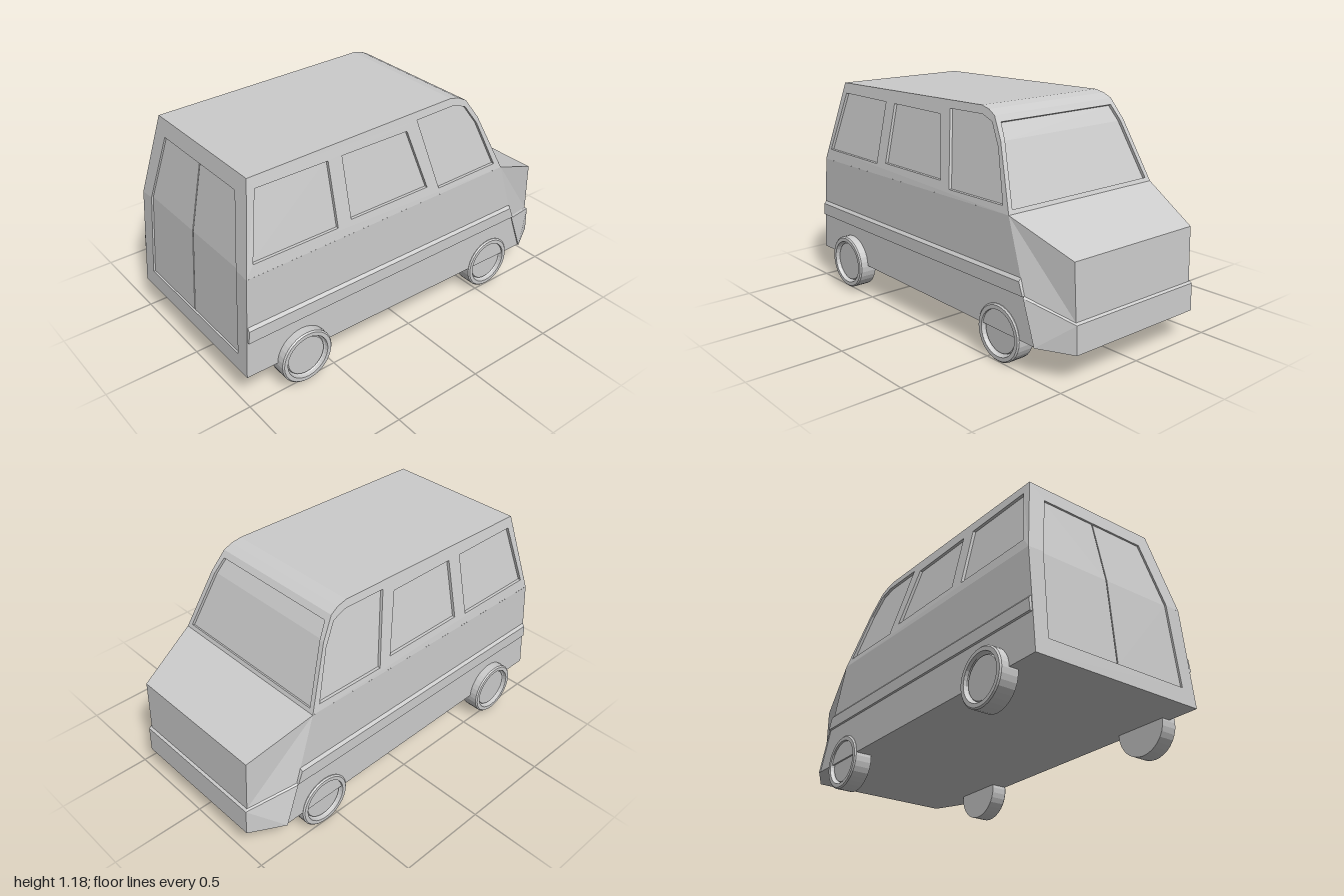
import * as THREE from 'three';

const mat = new THREE.MeshStandardMaterial({ color: 0xcccccc, flatShading: true, side: THREE.DoubleSide });
const CENTRE = new THREE.Vector3(0, 0.6, 0);

// half-width of the body shell at a given height (kinked at the belt line)
const halfWidth = y => 0.4845 - (y - 0.73) * (y > 0.73 ? 0.222 : 0.02);
const onSide = (z, y, out = 0) => [halfWidth(y) + out, y, z];
const mirror = p => [-p[0], p[1], p[2]];
const add = (p, d) => p.map((v, i) => v + d[i]);

// mesh of flat convex polygons, each turned to face away from the body centre
function shell(name, faces) {
  const pos = [];
  for (const face of faces) {
    const p = face.map(c => new THREE.Vector3(...c));
    for (let i = 1; i < p.length - 1; i++) {
      const tri = [p[0], p[i], p[i + 1]];
      const n = tri[1].clone().sub(tri[0]).cross(tri[2].clone().sub(tri[0]));
      const mid = tri[0].clone().add(tri[1]).add(tri[2]).divideScalar(3).sub(CENTRE);
      if (n.dot(mid) < 0) tri.reverse();
      tri.forEach(v => pos.push(v.x, v.y, v.z));
    }
  }
  const geo = new THREE.BufferGeometry();
  geo.setAttribute('position', new THREE.Float32BufferAttribute(pos, 3));
  geo.computeVertexNormals();
  const mesh = new THREE.Mesh(geo, mat);
  mesh.name = name;
  return mesh;
}
const bothSides = faces => [...faces, ...faces.map(f => f.map(mirror))];

// strip of quads joining two equally long point rows
const strip = (a, b) => a.slice(1).map((_, i) => [a[i], a[i + 1], b[i + 1], b[i]]);
// faces spanning the model from a +x edge line to its mirror image
const span = edge => strip(edge, edge.map(mirror));

// frame around an opening symmetric in x: rim faces plus the walls of the recess
function frame(outer, inner, recess) {
  const ring = half => [...half, ...half.map(mirror).reverse(), half[0]];
  const o = ring(outer), i = ring(inner);
  return [...strip(o, i), ...strip(i, i.map(p => add(p, recess)))];
}

// point on a (z, y) polyline at height y
function zAt(line, y) {
  const k = Math.max(0, Math.min(line.length - 2, line.findIndex(p => p[1] >= y) - 1));
  const [a, b] = [line[k], line[k + 1]];
  return a[0] + (b[0] - a[0]) * (y - a[1]) / (b[1] - a[1]);
}

// extrude a (z, y) shape inward from the sloping side wall
function sidePanel(name, shape, sign, start, depth) {
  const geo = new THREE.ExtrudeGeometry(shape, { depth, bevelEnabled: false });
  const p = geo.attributes.position;
  for (let i = 0; i < p.count; i++) {
    const z = p.getX(i), y = p.getY(i);
    p.setXYZ(i, sign * (halfWidth(Math.max(y, 0.7301)) - start - p.getZ(i)), y, z);
  }
  geo.computeVertexNormals();
  const mesh = new THREE.Mesh(geo, mat);
  mesh.name = name;
  return mesh;
}
const toShape = pts => new THREE.Shape(pts.map(p => new THREE.Vector2(...p)));

function wheel(name, x, y, z) {
  // tyre, rim step and recessed hub disc
  const profile = [[0, -0.05], [0.145, -0.05], [0.145, 0.04], [0.138, 0.047], [0.118, 0.047],
    [0.115, 0.03], [0.108, 0.022], [0.104, 0.03], [0, 0.03]];
  const geo = new THREE.LatheGeometry(profile.map(p => new THREE.Vector2(...p)), 32).toNonIndexed();
  geo.computeVertexNormals();
  const mesh = new THREE.Mesh(geo, mat);
  mesh.name = name;
  mesh.rotation.z = -Math.sign(x) * Math.PI / 2;
  mesh.position.set(x, y, z);
  return mesh;
}

export function createModel() {
  const van = new THREE.Group();
  van.name = 'van';

  // key corners on the +x side
  const tailLow = onSide(1, 0.18), tailBelt = onSide(0.96, 0.715), tailTop = onSide(0.87, 1.155);
  const pillar = onSide(-0.635, 0.73), fold = onSide(-0.75, 0.38), sill = onSide(-0.83, 0.158);
  const hoodTip = [0.4, 0.58, -0.97], noseMid = [0.395, 0.3, -0.982], noseLow = [0.395, 0.152, -0.985];

  // lower body, nose, underside
  van.add(shell('lowerBody', [
    ...bothSides([[tailLow, tailBelt, pillar, fold, sill],
      [pillar, hoodTip, noseMid, fold], [fold, noseMid, noseLow, sill]]),
    ...span([tailLow, sill, noseLow]),
  ]));
  van.add(shell('hood', span([pillar, hoodTip])));
  van.add(shell('nose', span([hoodTip, noseMid, noseLow])));
  van.add(shell('roof', span([tailTop, onSide(-0.33, 1.18), onSide(-0.385, 1.168), onSide(-0.43, 1.145)])));

  // upper sides with recessed windows
  const upper = [[0.96, 0.715], [0.87, 1.155], [-0.33, 1.18], [-0.385, 1.168], [-0.43, 1.145], [-0.5, 1.04], [-0.635, 0.73]];
  const windows = {
    rearWindow: [[0.915, 0.775], [0.84, 1.1], [0.445, 1.1], [0.445, 0.775]],
    middleWindow: [[0.365, 0.79], [0.365, 1.1], [-0.03, 1.1], [-0.115, 0.79]],
    frontWindow: [[-0.19, 0.76], [-0.1, 1.135], [-0.345, 1.14], [-0.42, 1.115], [-0.49, 1.01], [-0.585, 0.765]],
  };
  for (const s of [1, -1]) {
    const side = s > 0 ? 'left' : 'right';
    const shape = toShape(upper);
    for (const [name, pts] of Object.entries(windows)) {
      shape.holes.push(toShape(pts));
      van.add(sidePanel(`${side} ${name}`, toShape(pts), s, 0.016, 0.006));
    }
    van.add(sidePanel(`${side} upperSide`, shape, s, 0, 0.022));
  }

  // windscreen, bent near its top edge
  const screenLine = [[-0.635, 0.73], [-0.5, 1.04], [-0.43, 1.145]];
  const glassEdge = [[0.455, 0.75], [0.39, 1.04], [0.37, 1.115]].map(([x, y]) => [x, y, zAt(screenLine, y)]);
  const glassIn = [0, -0.007, 0.014];
  van.add(shell('windscreenFrame', frame(screenLine.map(p => onSide(...p)), glassEdge, glassIn)));
  van.add(shell('windscreen', span(glassEdge.map(p => add(p, glassIn)))));

  // tail with two recessed doors and a narrow gap between them
  const tailLine = [[1, 0.18], [0.96, 0.715], [0.87, 1.155]];
  const doorEdge = [[0.415, 0.27], [0.397, 0.72], [0.315, 1.07]].map(([x, y]) => [x, y, zAt(tailLine, y)]);
  van.add(shell('tailFrame', frame([tailLow, tailBelt, tailTop], doorEdge, [0, 0, -0.025])));
  const leaf = doorEdge.map(p => add(p, [0, 0, -0.01]));
  const gapEdge = leaf.map(p => [0.003, p[1], p[2]]);
  const gapBack = gapEdge.map(p => add(p, [0, 0, -0.015]));
  van.add(shell('rearDoors', bothSides([...strip(gapEdge, leaf), ...strip(gapEdge, gapBack)])));
  van.add(shell('doorGap', span(gapBack)));

  // side trim strips with a bevelled top
  const trimRing = (zLow, zHigh) => [onSide(zLow, 0.38), onSide(zLow, 0.38, 0.013),
    onSide(zHigh, 0.445, 0.013), onSide(zHigh, 0.46)];
  const trimRear = trimRing(0.982, 0.975), trimFront = trimRing(-0.752, -0.725);
  van.add(shell('sideTrim', bothSides([trimRear, trimFront, ...strip(trimRear, trimFront)])));

  // wrap-round bumper: lower inner, lower outer, upper outer, upper inner at each station
  const bumperEnd = [sill, add(sill, [0.008, 0, 0]), add(fold, [0.008, -0.008, 0]), fold];
  const bumperCorner = [noseLow, [0.402, 0.15, -1], [0.402, 0.292, -0.995], noseMid];
  van.add(shell('frontBumper', [
    ...bothSides([bumperEnd, ...strip(bumperEnd, bumperCorner)]), ...span(bumperCorner),
  ]));

  // wheels
  for (const s of [1, -1]) {
    const side = s > 0 ? 'left' : 'right';
    van.add(wheel(`${side} rearWheel`, s * 0.496, 0.17, 0.685));
    van.add(wheel(`${side} frontWheel`, s * 0.457, 0.147, -0.58));
  }
  return van;
}
